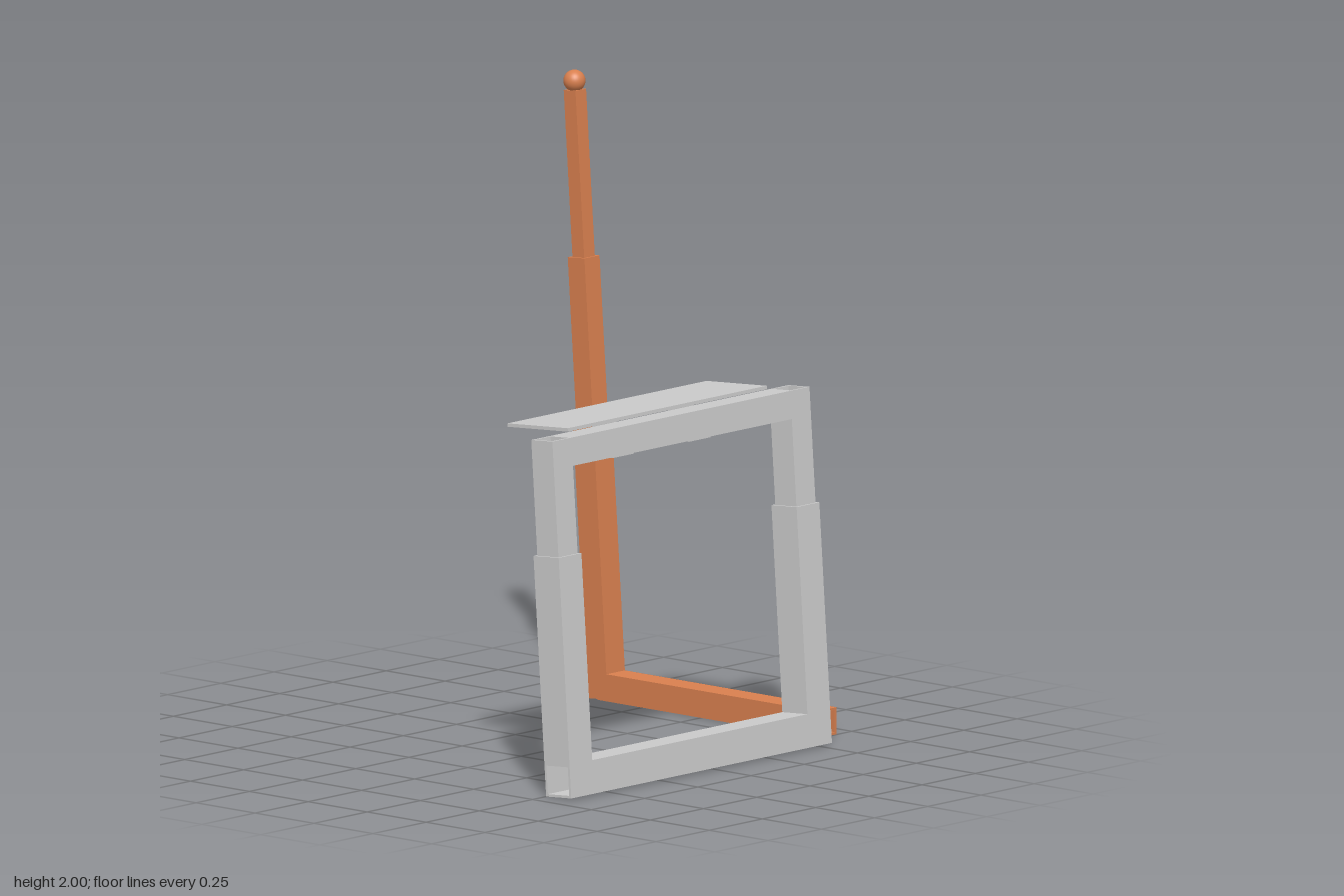
import * as THREE from 'three';

const grey = new THREE.MeshStandardMaterial({ color: 0xcccccc });
const orange = new THREE.MeshStandardMaterial({ color: 0xd9804f });
const WALL = 0.008;
const LEAN = -THREE.MathUtils.degToRad(4);

function add(parent, name, geometry, material, x = 0, y = 0, z = 0) {
  const mesh = new THREE.Mesh(geometry, material);
  mesh.name = name;
  mesh.position.set(x, y, z);
  parent.add(mesh);
  return mesh;
}

// Square hollow tube, open at both ends, starting at 0 and running along the given axis
function squareTube(size, length, axis) {
  const square = (Kind, h) => new Kind([[-h, -h], [h, -h], [h, h], [-h, h]].map(p => new THREE.Vector2(...p)));
  const shape = square(THREE.Shape, size / 2);
  shape.holes.push(square(THREE.Path, size / 2 - WALL));
  const geometry = new THREE.ExtrudeGeometry(shape, { depth: length, bevelEnabled: false });
  if (axis === 'y') geometry.rotateX(-Math.PI / 2);
  if (axis === 'x') geometry.rotateY(Math.PI / 2);
  return geometry;
}

// Round-ended lug with the eye at the origin; its foot lies towards -X of the shape
function lugGeometry(radius, reach, thickness) {
  const shape = new THREE.Shape();
  shape.moveTo(-reach, -radius);
  shape.lineTo(0, -radius);
  shape.absarc(0, 0, radius, -Math.PI / 2, Math.PI / 2, false);
  shape.lineTo(-reach, radius);
  const geometry = new THREE.ExtrudeGeometry(shape, { depth: thickness, bevelEnabled: false, curveSegments: 16 });
  return geometry.translate(0, 0, -thickness / 2);
}

function createFrame() {
  const frame = new THREE.Group();
  frame.name = 'frame';
  const cx = -0.0725, outer = 0.107, inner = 0.09, half = 0.6125, top = 1.136;

  // Bottom beam runs through to both sides
  add(frame, 'bottomBeam', squareTube(outer, half * 2, 'x'), grey, cx - half, outer / 2, 0);

  // Telescoping posts
  for (const [side, s] of [['left', 1], ['right', -1]]) {
    const x = cx + s * (half - outer / 2);
    add(frame, side + 'LowerPost', squareTube(outer, 0.767 - outer, 'y'), grey, x, outer, 0);
    add(frame, side + 'UpperPost', squareTube(inner, top - 0.7, 'y'), grey, x, 0.7, 0);
  }

  // Top beam between the posts
  const span = 2 * (half - outer / 2) - inner;
  add(frame, 'topBeam', new THREE.BoxGeometry(span, inner, inner), grey, cx, top - inner / 2, 0);

  // Tilting panel
  add(frame, 'panel', new THREE.BoxGeometry(0.935, 0.011, 0.256), grey, cx, 1.15, -0.14);

  // Panel hinges: two lugs on the beam, one under the panel, and a pin
  for (const x of [-0.255, 0.105]) {
    const hinge = new THREE.Group();
    hinge.name = 'panelHinge';
    hinge.position.set(x, 1.069, -0.118);
    frame.add(hinge);
    for (const s of [-1, 1]) {
      add(hinge, 'beamLug', lugGeometry(0.045, 0.073, 0.016).rotateY(Math.PI / 2), grey, s * 0.037);
    }
    const panelLug = lugGeometry(0.045, 0.076, 0.016).rotateZ(-Math.PI / 2).rotateY(Math.PI / 2);
    add(hinge, 'panelLug', panelLug, grey);
    add(hinge, 'hingePin', new THREE.CylinderGeometry(0.019, 0.019, 0.1, 20).rotateZ(Math.PI / 2), grey);
    add(hinge, 'beamPlate', new THREE.BoxGeometry(0.1, 0.09, 0.008), grey, 0, 0, 0.07);
    add(hinge, 'panelPlate', new THREE.BoxGeometry(0.1, 0.008, 0.09), grey, 0, 0.072, 0);
  }
  frame.rotation.x = LEAN;
  frame.position.set(0, 0.0037, 0.5525);
  return frame;
}

function createArm() {
  const arm = new THREE.Group();
  arm.name = 'arm';
  const size = 0.087;

  // Horizontal boom, open at the front
  add(arm, 'boom', squareTube(size, 0.935, 'z'), orange, 0, size / 2, -0.438);

  // Leaning mast of three telescoping sections
  const mast = new THREE.Group();
  mast.name = 'mast';
  const sections = [[size, 0, 0.885], [0.071, 0.8, 1.405], [0.05, 1.3, 1.937]];
  sections.forEach(([width, from, to], i) => {
    add(mast, 'mastSection' + (i + 1), squareTube(width, to - from, 'y'), orange, 0, from, 0);
  });
  add(mast, 'mastFoot', new THREE.BoxGeometry(size - 0.004, WALL, size - 0.004), orange, 0, WALL / 2, 0);
  add(mast, 'ballTip', new THREE.SphereGeometry(0.035, 32, 20), orange, 0, 1.965, 0);
  mast.rotation.x = LEAN;
  mast.position.set(0, 0.003, -0.4385);
  arm.add(mast);
  arm.position.x = 0.638;
  return arm;
}

// Pivot joining the frame to the arm
function createPivot() {
  const pivot = new THREE.Group();
  pivot.name = 'pivot';
  const plate = new THREE.BoxGeometry(0.055, 0.014, 0.074);
  add(pivot, 'framePlate', plate, grey, -0.005, 0.036, 0.005);
  add(pivot, 'armPlate', new THREE.BoxGeometry(0.05, 0.014, 0.05), grey, 0.009, 0.052, 0);
  add(pivot, 'pivotPin', new THREE.CylinderGeometry(0.018, 0.018, 0.106, 24), grey, 0, 0.112, 0);
  add(pivot, 'pivotPinEnd', new THREE.CylinderGeometry(0.011, 0.011, 0.05, 20), grey, 0, 0.04, 0);
  pivot.position.set(0.566, 0, 0.488);
  return pivot;
}

export function createModel() {
  const model = new THREE.Group();
  model.name = 'frameWithArm';
  model.add(createFrame(), createArm(), createPivot());
  return model;
}
